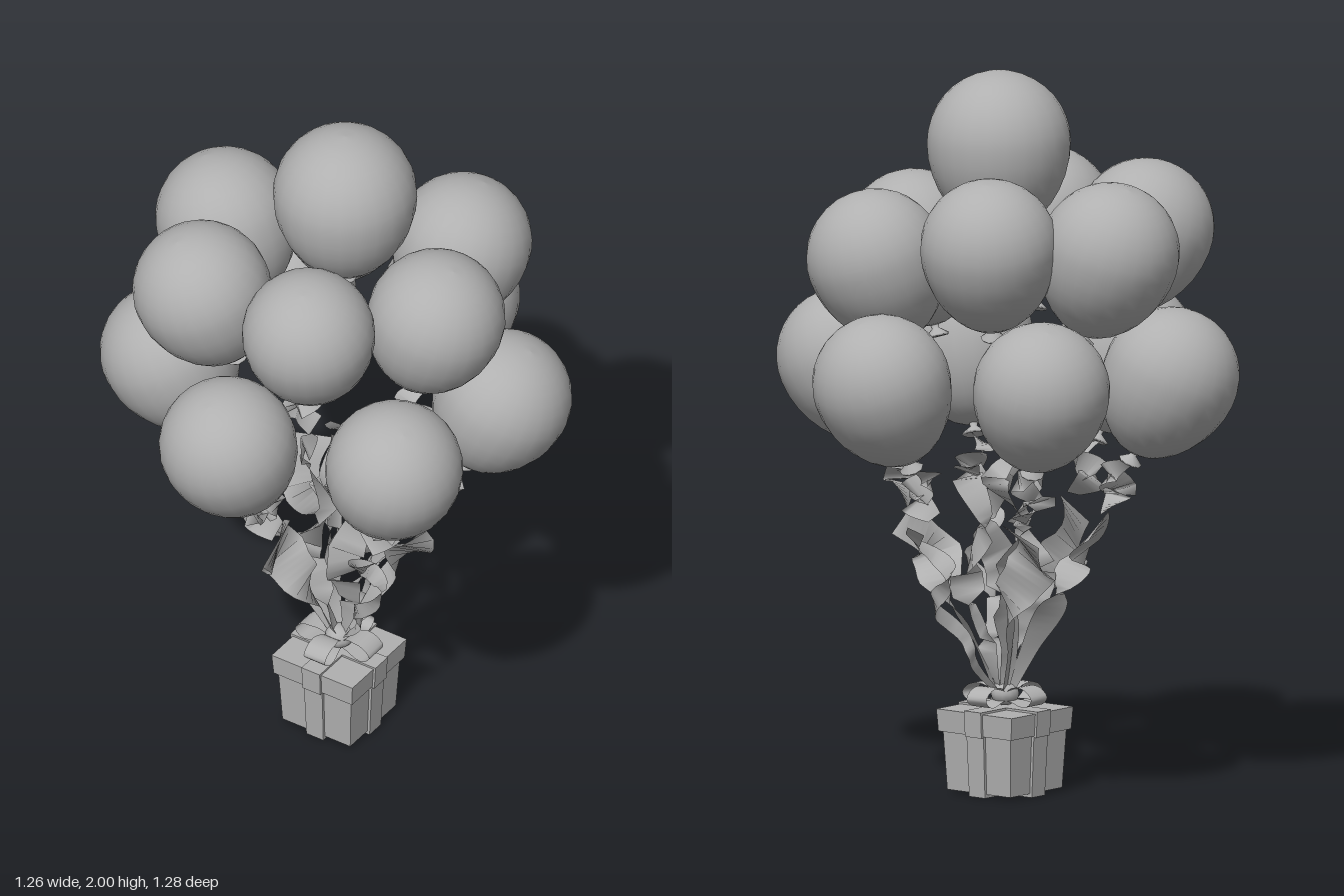
import * as THREE from 'three';

const grey = new THREE.MeshStandardMaterial({ color: 0xb0b0b0 });
grey.name = 'plain grey';
const greySheet = new THREE.MeshStandardMaterial({ color: 0xb0b0b0, side: THREE.DoubleSide });
greySheet.name = 'plain grey sheet';

const V = (x, y, z) => new THREE.Vector3(x, y, z);
const UP = V(0, 1, 0);

function add(parent, name, geometry, material = grey) {
  const mesh = new THREE.Mesh(geometry, material);
  mesh.name = name;
  parent.add(mesh);
  return mesh;
}

// Balloon skin: round crown, longer tapering underside
function balloonGeometry(r) {
  const profile = [];
  for (let i = 0; i <= 18; i++) {
    const t = Math.PI * (1 - i / 18);
    const c = Math.cos(t);
    const taper = c < 0 ? 1 - 0.1 * c * c : 1;
    profile.push(new THREE.Vector2(Math.max(0, r * Math.sin(t) * taper), c * r * (c < 0 ? 1.3 : 1)));
  }
  return new THREE.LatheGeometry(profile, 24);
}

// Small flared lip tied below the balloon
function knotGeometry() {
  const profile = [[0.006, 0.012], [0.012, 0], [0.01, -0.008], [0.034, -0.026], [0.03, -0.032], [0, -0.022]];
  return new THREE.LatheGeometry(profile.map(p => new THREE.Vector2(...p)).reverse(), 9);
}

// Flat band along a curve; width and twist vary along its length
function ribbonGeometry(points, widths, twist0, turns, steps = 26) {
  const curve = new THREE.CatmullRomCurve3(points);
  const pos = [], index = [];
  for (let i = 0; i <= steps; i++) {
    const t = i / steps, p = curve.getPoint(t), tan = curve.getTangent(t);
    const ref = Math.abs(tan.y) > 0.95 ? V(0.6, 0.2, 0.8) : UP;
    const u = new THREE.Vector3().crossVectors(tan, ref).normalize();
    const v = new THREE.Vector3().crossVectors(tan, u);
    const a = twist0 + turns * Math.PI * 2 * t;
    const f = t * (widths.length - 1), k = Math.min(Math.floor(f), widths.length - 2);
    const w = THREE.MathUtils.lerp(widths[k], widths[k + 1], f - k) / 2;
    const side = u.multiplyScalar(Math.cos(a) * w).addScaledVector(v, Math.sin(a) * w);
    pos.push(...p.clone().add(side).toArray(), ...p.clone().sub(side).toArray());
    if (i < steps) {
      const b = i * 2;
      index.push(b, b + 1, b + 2, b + 1, b + 3, b + 2);
    }
  }
  const g = new THREE.BufferGeometry();
  g.setAttribute('position', new THREE.Float32BufferAttribute(pos, 3));
  g.setIndex(index);
  g.computeVertexNormals();
  return g;
}

// Horizontal band with constant width along an outline in the XY plane
function bandGeometry(outline, width) {
  const pts = new THREE.CatmullRomCurve3(outline.map(p => V(p[0], p[1], 0)), true).getPoints(20);
  const pos = [], index = [];
  pts.forEach((p, i) => {
    const w = width / 2 * (0.45 + 0.55 * Math.min(1, Math.max(0, p.x) / 0.07));
    pos.push(p.x, p.y, w, p.x, p.y, -w);
    if (i) index.push(i * 2 - 2, i * 2 - 1, i * 2, i * 2 - 1, i * 2 + 1, i * 2);
  });
  const g = new THREE.BufferGeometry();
  g.setAttribute('position', new THREE.Float32BufferAttribute(pos, 3));
  g.setIndex(index);
  g.computeVertexNormals();
  return g;
}

// Box with its underside narrowed
function taperedBox(w, h, d, amount) {
  const g = new THREE.BoxGeometry(w, h, d);
  const p = g.attributes.position;
  for (let i = 0; i < p.count; i++) {
    if (p.getY(i) < 0) p.setXYZ(i, p.getX(i) * amount, p.getY(i), p.getZ(i) * amount);
  }
  g.computeVertexNormals();
  return g;
}

function makeGift() {
  const gift = new THREE.Group();
  gift.name = 'giftBox';
  add(gift, 'boxBody', taperedBox(0.24, 0.165, 0.24, 0.93)).position.y = 0.0925;
  add(gift, 'boxLid', taperedBox(0.266, 0.062, 0.266, 0.97)).position.y = 0.203;
  // crossed wrapping bands
  for (let i = 0; i < 2; i++) {
    const wrap = new THREE.Group();
    wrap.name = 'wrappingBand';
    add(wrap, 'bodyBand', taperedBox(0.06, 0.17, 0.256, 0.93)).position.y = 0.085;
    add(wrap, 'lidBand', taperedBox(0.06, 0.072, 0.28, 0.97)).position.y = 0.204;
    wrap.rotation.y = i * Math.PI / 2;
    gift.add(wrap);
  }
  // four bow loops round a knot
  const loop = [[0.01, 0.262], [0.045, 0.295], [0.095, 0.296], [0.122, 0.27], [0.1, 0.248], [0.05, 0.256]];
  for (let i = 0; i < 4; i++) {
    add(gift, 'bowLoop', bandGeometry(loop, 0.07), greySheet).rotation.y = i * Math.PI / 2;
  }
  const knot = add(gift, 'bowKnot', new THREE.SphereGeometry(0.04, 12, 8));
  knot.position.y = 0.275;
  knot.scale.y = 0.85;
  gift.position.z = 0.008;
  return gift;
}

export function createModel() {
  const model = new THREE.Group();
  model.name = 'giftWithBalloons';
  model.add(makeGift());

  // balloon centres and radii: crown, middle ring, lower ring
  const upper = [
    [0.014, 1.802, 0, 0.198],
    [0.184, 1.505, -0.325, 0.19], [-0.163, 1.56, -0.256, 0.19], [0.315, 1.505, 0, 0.19],
    [0.105, 1.558, 0.314, 0.183], [-0.252, 1.555, 0.307, 0.19], [-0.39, 1.54, -0.015, 0.193],
  ];
  const lower = [
    [0.06, 1.185, -0.45, 0.19], [-0.355, 1.185, -0.265, 0.188], [0.435, 1.185, -0.15, 0.189],
    [0.367, 1.187, 0.283, 0.189], [-0.07, 1.187, 0.45, 0.189], [-0.445, 1.18, 0.184, 0.188],
  ];
  for (const [x, y, z, r] of [...upper, ...lower]) {
    const balloon = new THREE.Group();
    balloon.name = 'balloon';
    add(balloon, 'balloonSkin', balloonGeometry(r));
    add(balloon, 'balloonKnot', knotGeometry()).position.y = -r * 1.3;
    balloon.position.set(x, y, z);
    const lean = y > 1.7 ? 0 : 0.25;
    balloon.quaternion.setFromUnitVectors(UP, V(x * lean, 0.25, z * lean).normalize());
    model.add(balloon);
  }

  // streamers under the lower ring: a short folded piece, then a long one down to the bow
  lower.forEach(([x, , z], i) => {
    const a = Math.atan2(z, x), neck = Math.hypot(x, z) * 0.76;
    const at = (r, y, s = 0) => V(
      Math.cos(a) * r - Math.sin(a) * s, y, Math.sin(a) * r + Math.cos(a) * s);
    const s = i % 2 ? 1 : -1;
    add(model, 'upperStreamer', ribbonGeometry(
      [at(neck, 0.935), at(neck - 0.06, 0.9, 0.02 * s), at(neck - 0.04, 0.85, -0.03 * s), at(neck - 0.07, 0.795, 0.02 * s)],
      [0.03, 0.07, 0.1, 0.07], i * 0.8, 0.45 * s), greySheet);
    if (i === 3 || i === 0) {
      // slim curling streamer
      const pts = [];
      for (let k = 0; k <= 12; k++) {
        const t = k / 12, c = 0.055 * (1 - t);
        pts.push(at(0.27 - 0.24 * t * t + c * Math.cos(k * 1.2), 0.76 - 0.47 * t, c * Math.sin(k * 1.2)));
      }
      add(model, 'curledStreamer', ribbonGeometry(pts, [0.05, 0.05, 0.045, 0.03, 0.015], 0.5, 0.3, 48), greySheet);
    } else {
      add(model, 'lowerStreamer', ribbonGeometry(
        [at(0.28, 0.755, 0.02 * s), at(0.21, 0.66, -0.03 * s), at(0.17, 0.56, 0.02 * s), at(0.09, 0.43), at(0.02, 0.28)],
        [0.15, 0.15, 0.11, 0.06, 0.02], i * 0.5, 0.3 * s), greySheet);
    }
  });

  // streamers hanging through the middle
  for (let i = 0; i < 4; i++) {
    const a = 0.5 + i * Math.PI / 2;
    const at = (r, y, d) => V(Math.cos(a + d) * r, y, Math.sin(a + d) * r);
    add(model, 'middleStreamer', ribbonGeometry(
      [at(0.08, 1.03 - 0.04 * i, 0), at(0.1, 0.88, 0.6), at(0.07, 0.75, -0.5), at(0.1, 0.6, 0.4), at(0.05, 0.42, 0), at(0.01, 0.28, 0)],
      [0.02, 0.09, 0.07, 0.11, 0.06, 0.02], i, 0.7, 32), greySheet);
  }
  return model;
}
